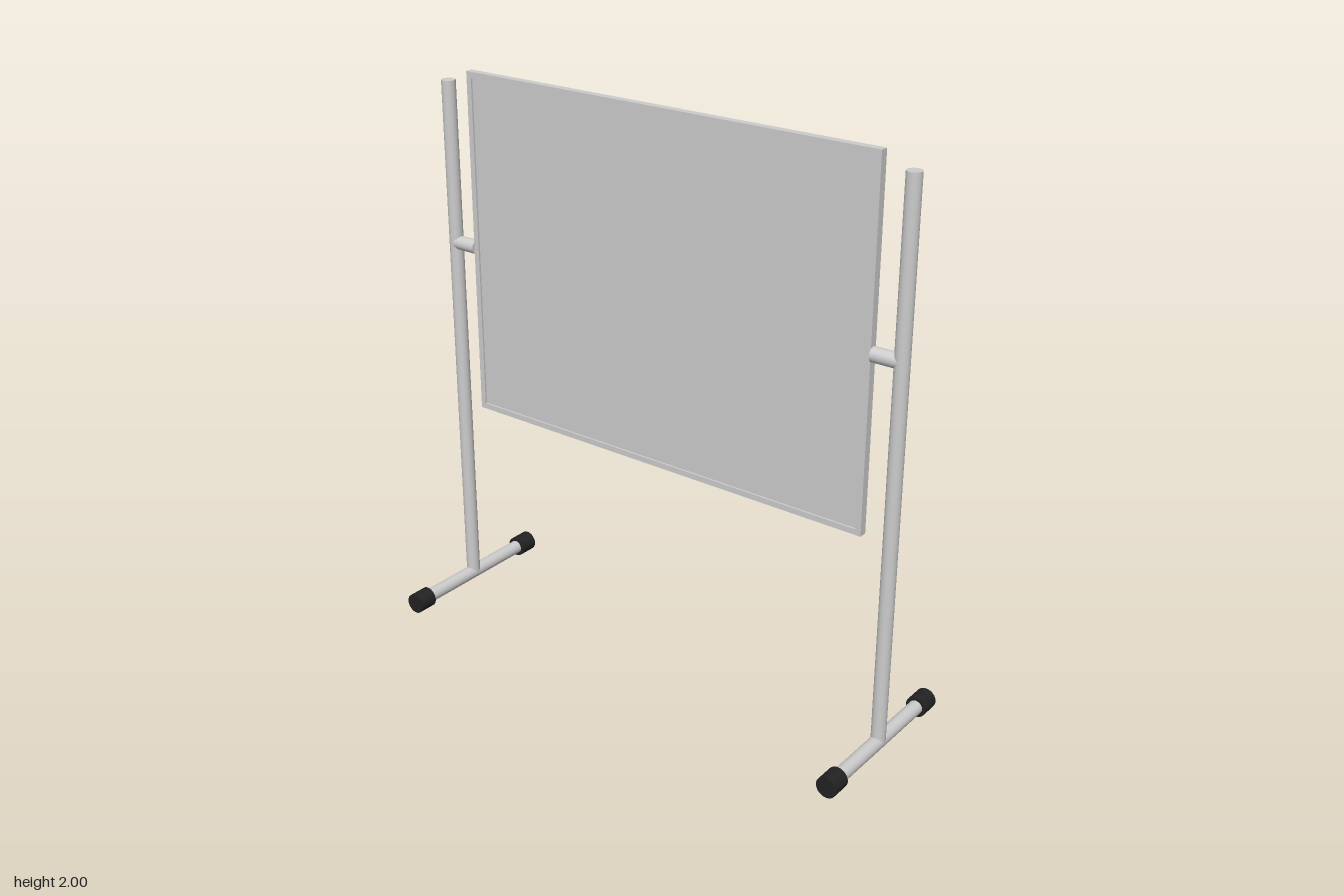
import * as THREE from 'three';

const grey = new THREE.MeshStandardMaterial({ color: 0xcccccc });
const black = new THREE.MeshStandardMaterial({ color: 0x222222 });

const TUBE = 0.025;      // radius of all steel tubes
const CAP = 0.037;       // radius of the rubber feet
const POST_Z = 0.907;
const BOARD = { z: 0.807, bottom: 0.765, top: 2, depth: 0.028, rim: 0.02 };

// Solid tube of given length along an axis, centred on its position
function tube(name, radius, length, axis, material, x, y, z) {
  const geometry = new THREE.CylinderGeometry(radius, radius, length, 32);
  if (axis === 'x') geometry.rotateZ(Math.PI / 2);
  if (axis === 'z') geometry.rotateX(Math.PI / 2);
  const mesh = new THREE.Mesh(geometry, material);
  mesh.name = name;
  mesh.position.set(x, y, z);
  return mesh;
}

function rectangle(PathType, halfWidth, halfHeight) {
  return new PathType([
    new THREE.Vector2(-halfWidth, -halfHeight),
    new THREE.Vector2(halfWidth, -halfHeight),
    new THREE.Vector2(halfWidth, halfHeight),
    new THREE.Vector2(-halfWidth, halfHeight),
  ]);
}

// Framed panel standing in the yz plane
function createBoard() {
  const board = new THREE.Group();
  board.name = 'board';
  const halfHeight = (BOARD.top - BOARD.bottom) / 2;
  board.position.y = BOARD.bottom + halfHeight;

  const outline = rectangle(THREE.Shape, BOARD.z, halfHeight);
  outline.holes.push(rectangle(THREE.Path, BOARD.z - BOARD.rim, halfHeight - BOARD.rim));
  const frameGeometry = new THREE.ExtrudeGeometry(outline, { depth: BOARD.depth, bevelEnabled: false });
  frameGeometry.translate(0, 0, -BOARD.depth / 2);
  frameGeometry.rotateY(Math.PI / 2);
  const frame = new THREE.Mesh(frameGeometry, grey);
  frame.name = 'boardFrame';

  const panel = new THREE.Mesh(
    new THREE.BoxGeometry(0.014, 2 * (halfHeight - BOARD.rim), 2 * (BOARD.z - BOARD.rim)), grey);
  panel.name = 'boardPanel';
  board.add(frame, panel);
  return board;
}

// Upright post with its pivot, crossbar foot and rubber end caps
function createStand(side) {
  const stand = new THREE.Group();
  stand.name = side > 0 ? 'frontStand' : 'backStand';
  const z = side * POST_Z;
  const postTop = 1.955;
  stand.add(tube('post', TUBE, postTop - CAP, 'y', grey, 0, (postTop + CAP) / 2, z));
  stand.add(tube('pivot', TUBE, POST_Z - BOARD.z, 'z', grey, 0, 1.375, side * (POST_Z + BOARD.z) / 2));
  stand.add(tube('footBar', TUBE, 0.56, 'x', grey, 0, CAP, z));
  for (const end of [-1, 1]) {
    stand.add(tube('footCap', CAP, 0.07, 'x', black, end * 0.279, CAP, z));
  }
  return stand;
}

export function createModel() {
  const model = new THREE.Group();
  model.name = 'pivotingBoard';
  model.add(createBoard(), createStand(1), createStand(-1));
  return model;
}
